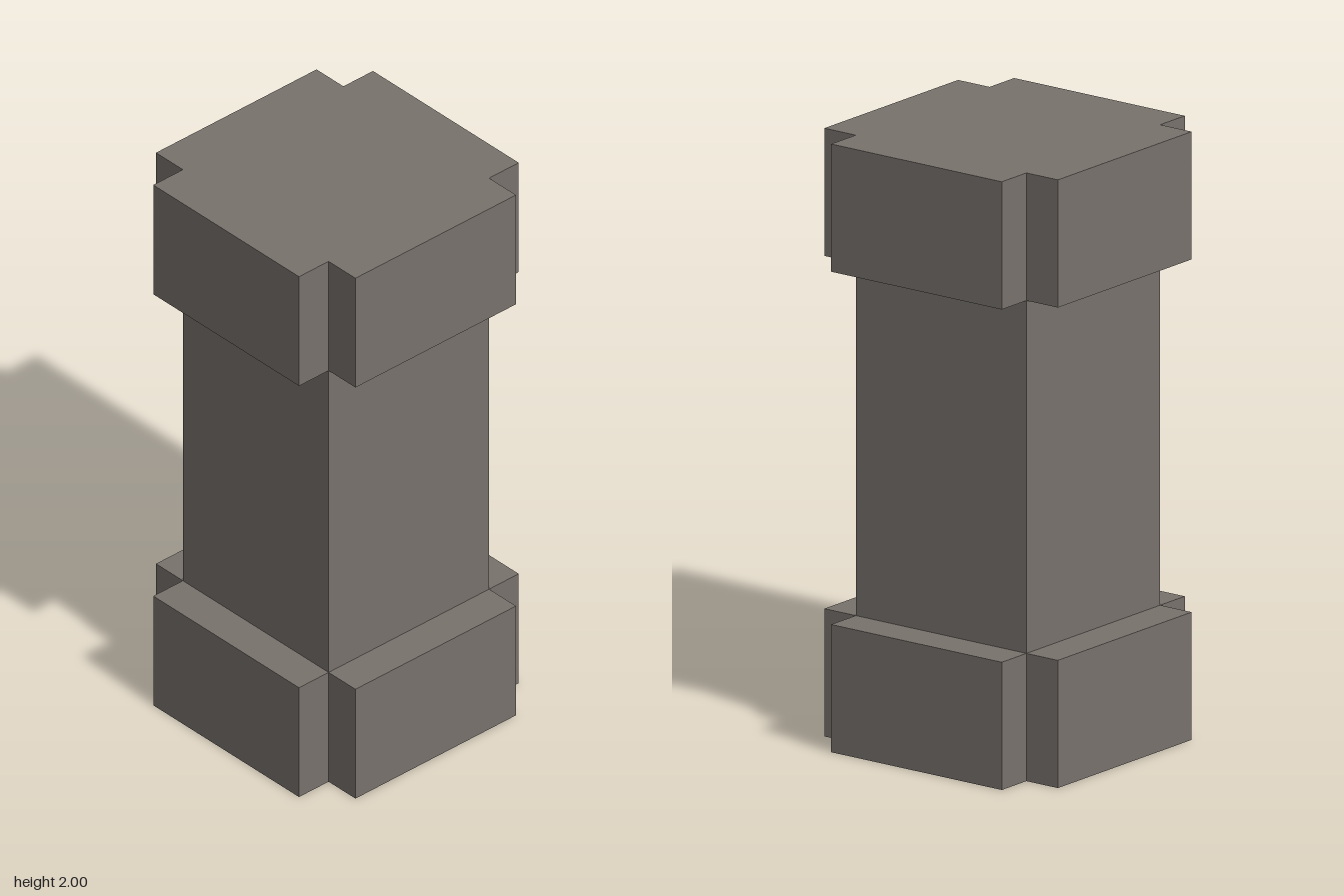
import * as THREE from 'three';

const CORE = 0.342;   // half width of the shaft
const OUTER = 0.468;  // half width across the block faces
const BLOCK = 0.42;   // height of the base and the capital
const HEIGHT = 2;

// Square with its four corners notched in to the shaft's edges
function notchedSquare() {
  const points = [];
  for (let i = 0; i < 4; i++) {
    const centre = new THREE.Vector2();
    for (const [x, y] of [[OUTER, -CORE], [OUTER, CORE], [CORE, CORE]]) {
      points.push(new THREE.Vector2(x, y).rotateAround(centre, i * Math.PI / 2));
    }
  }
  return new THREE.Shape(points);
}

export function createModel() {
  const stone = new THREE.MeshStandardMaterial({ color: 0x78726c });
  stone.name = 'stone';

  const pillar = new THREE.Group();
  pillar.name = 'pillar';

  // Base and capital share one notched block
  const block = new THREE.ExtrudeGeometry(notchedSquare(), { depth: BLOCK, bevelEnabled: false });
  block.rotateX(-Math.PI / 2);
  for (const [name, y] of [['base', 0], ['capital', HEIGHT - BLOCK]]) {
    const mesh = new THREE.Mesh(block, stone);
    mesh.name = name;
    mesh.position.y = y;
    pillar.add(mesh);
  }

  // Square shaft between the two blocks
  const shaft = new THREE.Mesh(
    new THREE.BoxGeometry(CORE * 2, HEIGHT - BLOCK * 2, CORE * 2), stone);
  shaft.name = 'shaft';
  shaft.position.y = HEIGHT / 2;
  pillar.add(shaft);

  return pillar;
}
